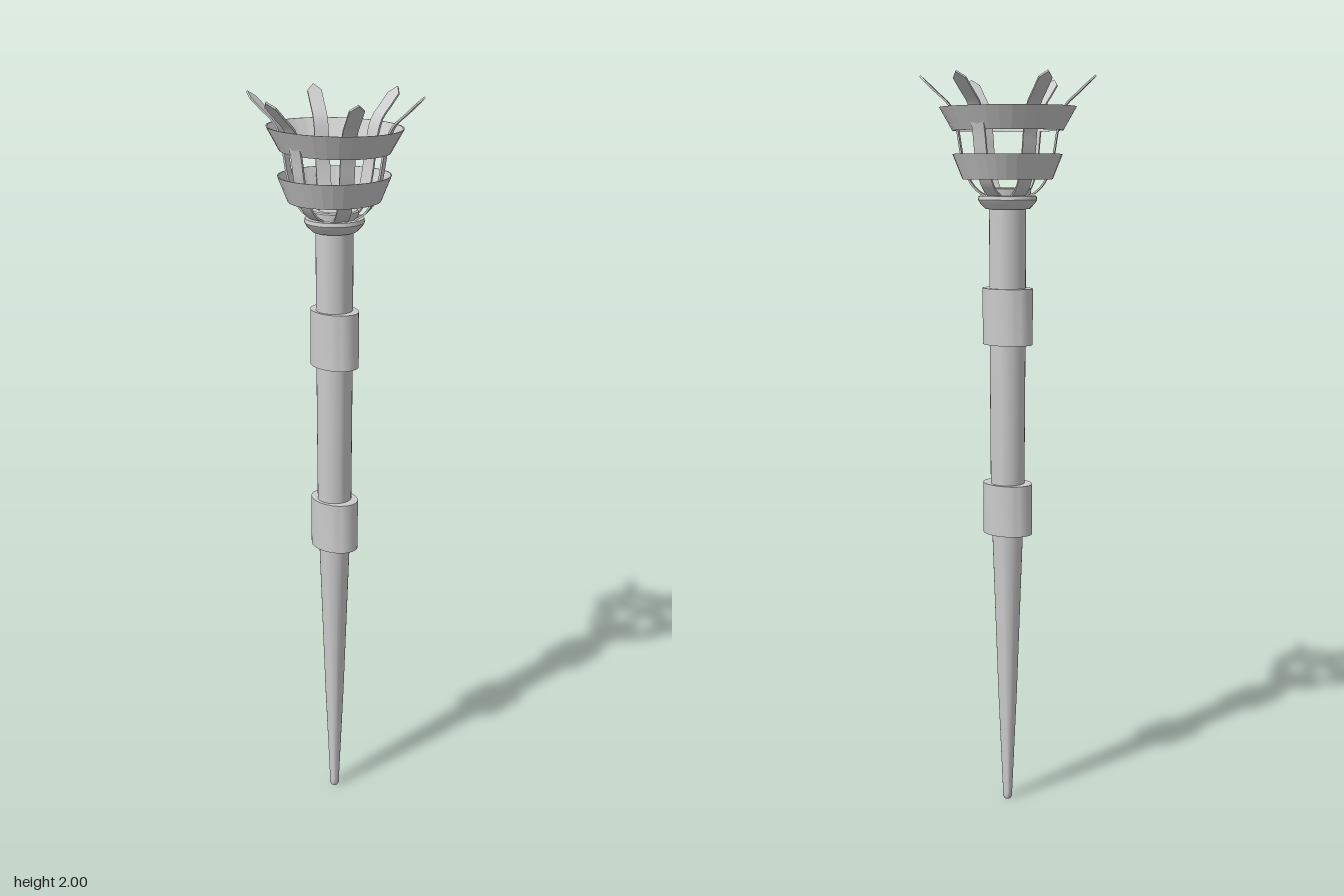
import * as THREE from 'three';
import { toCreasedNormals } from 'three/addons/utils/BufferGeometryUtils.js';

const material = new THREE.MeshStandardMaterial({ color: 0xcccccc });
const bandMaterial = new THREE.MeshStandardMaterial({ color: 0xcccccc, flatShading: true, side: THREE.DoubleSide });

// Turned part from [radius, height] points, optionally oval
function lathe(name, points, sx = 1, sz = 1, mat = material, sides = 32) {
  let geometry = new THREE.LatheGeometry(points.map(p => new THREE.Vector2(...p)), sides);
  geometry.scale(sx, 1, sz);
  geometry = toCreasedNormals(geometry, 0.6);
  const mesh = new THREE.Mesh(geometry, mat);
  mesh.name = name;
  return mesh;
}

// Thin strap that follows a curve outwards and ends in a point
function strapGeometry() {
  const path = new THREE.CatmullRomCurve3([
    [0.03, 1.69], [0.056, 1.692], [0.082, 1.708], [0.104, 1.74], [0.121, 1.8],
    [0.131, 1.86], [0.15, 1.922], [0.188, 1.96], [0.229, 1.999],
  ].map(([r, y]) => new THREE.Vector3(r, y, 0)));
  const geometry = new THREE.BoxGeometry(1, 0.005, 0.038, 30, 1, 2);
  const pos = geometry.attributes.position;
  for (let i = 0; i < pos.count; i++) {
    const z = pos.getZ(i);
    // The edges stop short of the middle to form the point
    const along = pos.getX(i) + 0.5;
    const t = along * (1 - 0.055 * Math.abs(z) / 0.019 * along ** 8);
    const p = path.getPointAt(t);
    const d = path.getTangentAt(t);
    const h = pos.getY(i);
    pos.setXYZ(i, p.x - d.y * h, p.y + d.x * h, z);
  }
  return toCreasedNormals(geometry, 0.6);
}

export function createModel() {
  const model = new THREE.Group();

  // Handle tapering to a blunt foot
  model.add(lathe('handle', [
    [0, 0], [0.009, 0], [0.013, 0.007], [0.013, 0.022], [0.026, 0.32],
    [0.042, 0.78], [0.046, 0.92], [0.048, 1.3], [0.049, 1.67], [0, 1.67],
  ]));

  // Two oval grips around the handle
  for (const [name, y] of [['lowerGrip', 0.78], ['upperGrip', 1.3]]) {
    const top = y + (name === 'lowerGrip' ? 0.14 : 0.15);
    model.add(lathe(name, [[0, y], [1, y], [1, top], [0, top]], 0.055, 0.072));
  }

  // Collar and the plate that holds the straps
  model.add(lathe('collar', [
    [0, 1.658], [0.058, 1.658], [0.072, 1.672], [0.078, 1.682], [0.076, 1.692], [0.06, 1.692], [0, 1.692],
  ]));
  model.add(lathe('basketPlate', [
    [0.06, 1.688], [0.062, 1.71], [0.058, 1.713], [0.042, 1.713], [0.041, 1.709], [0, 1.709],
  ]));

  // Two flared oval bands
  const bands = [
    ['lowerBand', 1.735, 1.8, 0.82, 0.121, 0.148, 0.143],
    ['upperBand', 1.86, 1.92, 0.81, 0.13, 0.16, 0.188],
  ];
  for (const [name, y0, y1, r0, , sx, sz] of bands) {
    model.add(lathe(name, [
      [r0, y0], [1, y1], [0.98, y1], [r0 - 0.02, y0], [r0, y0],
    ], sx, sz, bandMaterial));
  }

  // Six straps fanning out around the basket
  const strap = strapGeometry();
  const straps = new THREE.Group();
  straps.name = 'straps';
  for (let i = 0; i < 6; i++) {
    const mesh = new THREE.Mesh(strap, material);
    mesh.name = 'strap';
    mesh.rotation.y = i * Math.PI / 3;
    straps.add(mesh);
  }
  model.add(straps);

  return model;
}
